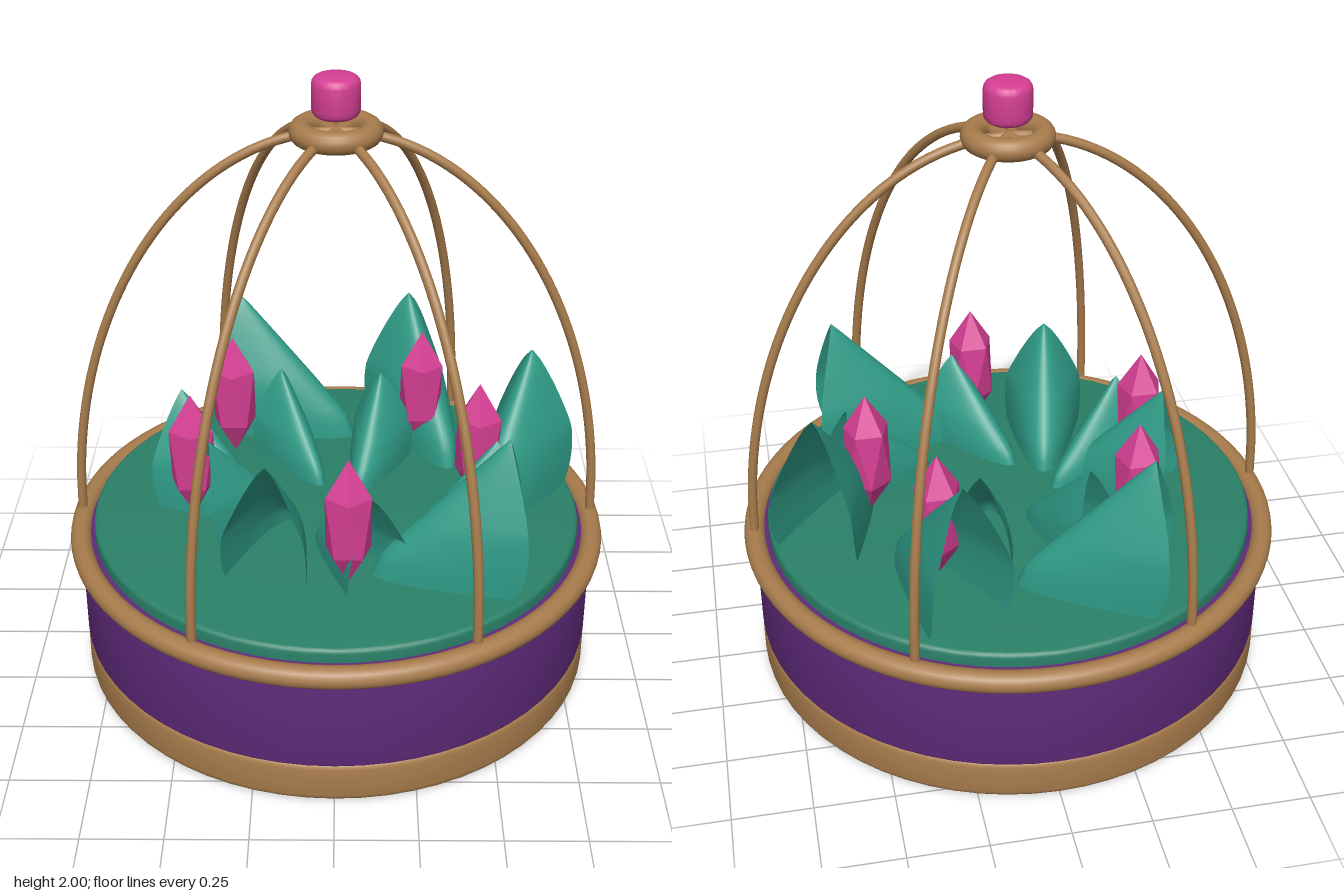
import * as THREE from 'three';
import { toCreasedNormals } from 'three/addons/utils/BufferGeometryUtils.js';

const mat = (color, extra = {}) => {
  const m = new THREE.MeshStandardMaterial({ color });
  return Object.assign(m, extra);
};

// Solid disc with rounded rims
function disc(r, y0, y1, bevel) {
  const pts = [new THREE.Vector2(0, y0)];
  for (let i = 0; i <= 4; i++) {
    const a = (i / 4) * Math.PI / 2;
    pts.push(new THREE.Vector2(r - bevel + bevel * Math.sin(a), y0 + bevel - bevel * Math.cos(a)));
  }
  for (let i = 0; i <= 4; i++) {
    const a = (i / 4) * Math.PI / 2;
    pts.push(new THREE.Vector2(r - bevel + bevel * Math.cos(a), y1 - bevel + bevel * Math.sin(a)));
  }
  pts.push(new THREE.Vector2(0, y1));
  return toCreasedNormals(new THREE.LatheGeometry(pts, 64), 0.5);
}

// Pointed leaf shell: tip at the origin, open towards +z, midrib sloping down and back to -z
function leafGeometry() {
  const ROWS = 16, COLS = 20, pos = [], idx = [];
  for (let i = 0; i <= ROWS; i++) {
    const t = i / ROWS;
    const half = 0.16 * Math.pow(1 - t, 0.75) * (0.8 + 0.55 * Math.min(1, t * 2.2)) ** 0.9;
    const depth = 0.47 * (1 - t) * (0.88 + 0.12 * Math.min(1, t * 5));
    const bulge = 0.06 * Math.sin(Math.PI * Math.pow(t, 0.65));
    for (let j = 0; j <= COLS; j++) {
      const u = (j / COLS) * 2 - 1;
      pos.push(half * u, t - 1, bulge * u * u - depth * (1 - u * u));
    }
  }
  const n = COLS + 1;
  for (let i = 0; i < ROWS; i++) {
    for (let j = 0; j < COLS; j++) {
      const a = i * n + j, b = a + 1, c = a + n, d = c + 1;
      idx.push(a, c, b, b, c, d);
    }
  }
  const g = new THREE.BufferGeometry();
  g.setAttribute('position', new THREE.Float32BufferAttribute(pos, 3));
  g.setIndex(idx);
  g.computeVertexNormals();
  return g;
}

export function createModel() {
  const group = new THREE.Group();
  const gold = mat(0xa87c4c), purple = mat(0x5f2a7a), soil = mat(0x2a8068);
  const pink = mat(0xd63f94), pinkFlat = mat(0xd63f94, { flatShading: true });
  const teal = mat(0x2f9a86, { side: THREE.DoubleSide });

  const add = (name, geo, material, parent = group) => {
    const m = new THREE.Mesh(geo, material);
    m.name = name;
    parent.add(m);
    return m;
  };
  const set = (name) => {
    const g = new THREE.Group();
    g.name = name;
    group.add(g);
    return g;
  };

  // Planter
  add('base', disc(0.84, 0, 0.145, 0.025), gold);
  add('bowl', disc(0.84, 0.135, 0.49, 0.01), purple);
  add('bed', disc(0.795, 0.45, 0.535, 0.015), soil);
  const rim = add('rim', new THREE.TorusGeometry(0.84, 0.035, 16, 80), gold);
  rim.rotation.x = Math.PI / 2;
  rim.position.y = 0.475;

  // Six arched cage bars
  const arch = [];
  for (let i = 0; i <= 14; i++) {
    const a = (i / 14) * Math.PI / 2;
    arch.push(new THREE.Vector3(0.84 * Math.cos(a), 0.52 + 1.31 * Math.sin(a), 0));
  }
  const barGeo = new THREE.TubeGeometry(new THREE.CatmullRomCurve3(arch), 48, 0.015, 10);
  const cage = set('cage');
  for (let i = 0; i < 6; i++) add('cageBar', barGeo, gold, cage).rotation.y = i * Math.PI / 3;

  // Crown ring and knob
  const crown = add('crownRing', new THREE.TorusGeometry(0.106, 0.035, 16, 48), gold);
  crown.rotation.x = Math.PI / 2;
  crown.position.y = 1.83;
  add('knob', disc(0.073, 1.875, 2, 0.025), pink);

  // Leaves: tip x, tip y, tip z, heading x, heading z, width, length
  const leafGeo = leafGeometry();
  const leaves = set('leaves');
  [
    [0.52, 1.02, 0.41, 1, 0.02, 1, 1],
    [0.64, 1.02, -0.17, 0.47, -0.88, 1, 1],
    [0.25, 1.02, -0.6, -0.35, -0.93, 1, 1],
    [-0.33, 1.02, -0.57, -0.95, -0.3, 1, 1],
    [-0.21, 0.93, 0.43, -0.2, 1, 0.95, 0.8],
    [-0.5, 0.93, -0.06, -0.85, -0.5, 0.85, 0.8],
    [0.51, 0.85, 0.13, 0.93, -0.37, 0.65, 0.75],
    [0.11, 0.83, 0.45, 0.5, 0.85, 0.75, 0.8],
    [-0.4, 0.86, 0.16, -0.85, 0.5, 0.7, 0.7],
    [-0.19, 0.85, -0.35, -0.5, -0.85, 0.65, 0.7],
    [0.15, 0.85, -0.32, 0.3, -0.95, 0.75, 0.65],
  ].forEach(([x, y, z, dx, dz, w, len]) => {
    const m = add('leaf', leafGeo, teal, leaves);
    m.position.set(x, y, z);
    m.rotation.y = Math.atan2(dx, dz);
    m.scale.set(w, y - 0.515, len);
  });

  // Crystal buds
  const crystalGeo = new THREE.IcosahedronGeometry(1, 0);
  crystalGeo.rotateX(-Math.atan((1 + Math.sqrt(5)) / 2));
  const crystals = set('crystals');
  [[0.04, 0.47], [-0.46, 0.08], [-0.35, -0.32], [0.29, -0.37], [0.46, 0]].forEach(([x, z], i) => {
    const m = add('crystal', crystalGeo, pinkFlat, crystals);
    m.position.set(x, 0.765, z);
    m.scale.set(0.083, 0.218, 0.083);
    m.rotation.y = i * 1.26;
  });

  return group;
}
